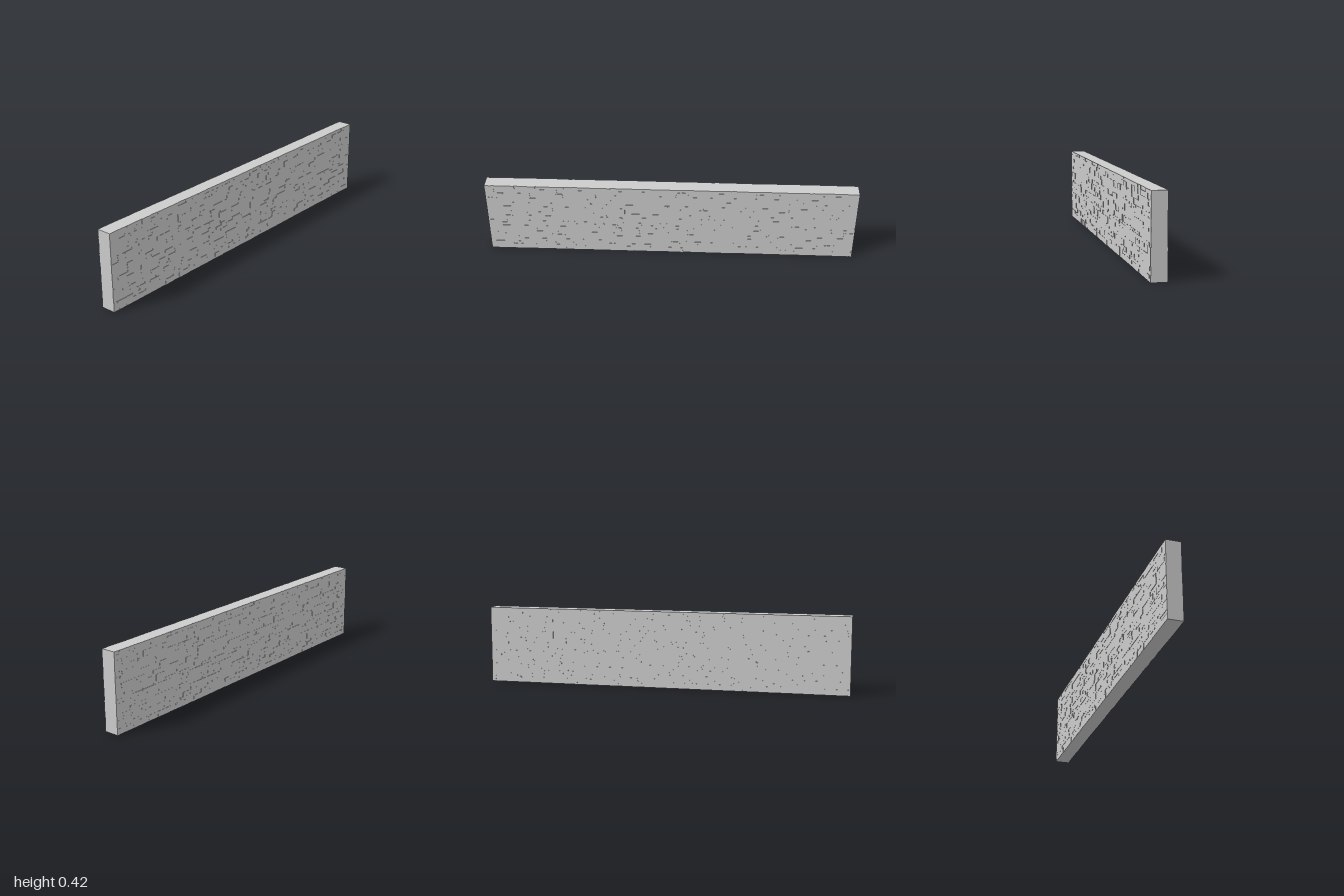
import * as THREE from 'three';
import { mergeGeometries } from 'three/addons/utils/BufferGeometryUtils.js';

// Heights of the bed joints, bottom to top
const BEDS = [0, 0.032, 0.05, 0.073, 0.104, 0.124, 0.16, 0.18, 0.195,
  0.229, 0.255, 0.29, 0.314, 0.344, 0.375, 0.402, 0.42];
const HALF_LENGTH = 1;

function seeded(seed) {
  return () => {
    seed = (seed * 16807) % 2147483647;
    return seed / 2147483647;
  };
}

// Upright joints of one course: position plus a slight lean
function makeJoints(random) {
  const joints = [{ z: -HALF_LENGTH, lean: 0 }];
  let z = -HALF_LENGTH + 0.02 + random() * 0.045;
  while (z < HALF_LENGTH - 0.02) {
    joints.push({ z, lean: (random() - 0.5) * 0.006 });
    z += 0.033 + random() * 0.035;
  }
  joints.push({ z: HALF_LENGTH, lean: 0 });
  return joints;
}

// A stone spanning the wall's thickness, its ends following the two joints
function makeStone(start, end, bottom, top, left, right) {
  const stone = new THREE.BoxGeometry(1, 1, 1);
  const p = stone.attributes.position;
  for (let i = 0; i < p.count; i++) {
    const joint = p.getZ(i) > 0 ? end : start;
    const up = p.getY(i) > 0;
    p.setXYZ(i, p.getX(i) > 0 ? left : -right, up ? top : bottom,
      joint.z + (up ? joint.lean : -joint.lean));
  }
  const flat = stone.toNonIndexed();
  flat.computeVertexNormals();
  return flat;
}

export function createModel() {
  const wall = new THREE.Group();
  wall.name = 'stoneWall';
  const material = new THREE.MeshStandardMaterial({ color: 0xcccccc, flatShading: true });
  const random = seeded(4271);

  // Stacked courses of unequal stones with faces standing slightly in or out
  for (let row = 0; row < BEDS.length - 1; row++) {
    const joints = makeJoints(random);
    const stones = [];
    for (let i = 0; i < joints.length - 1; i++) {
      const left = 0.0385 + random() * 0.0025;
      const right = 0.0385 + random() * 0.0025;
      stones.push(makeStone(joints[i], joints[i + 1], BEDS[row], BEDS[row + 1], left, right));
    }
    const course = new THREE.Mesh(mergeGeometries(stones), material);
    course.name = `stoneCourse${row + 1}`;
    wall.add(course);
  }
  return wall;
}
